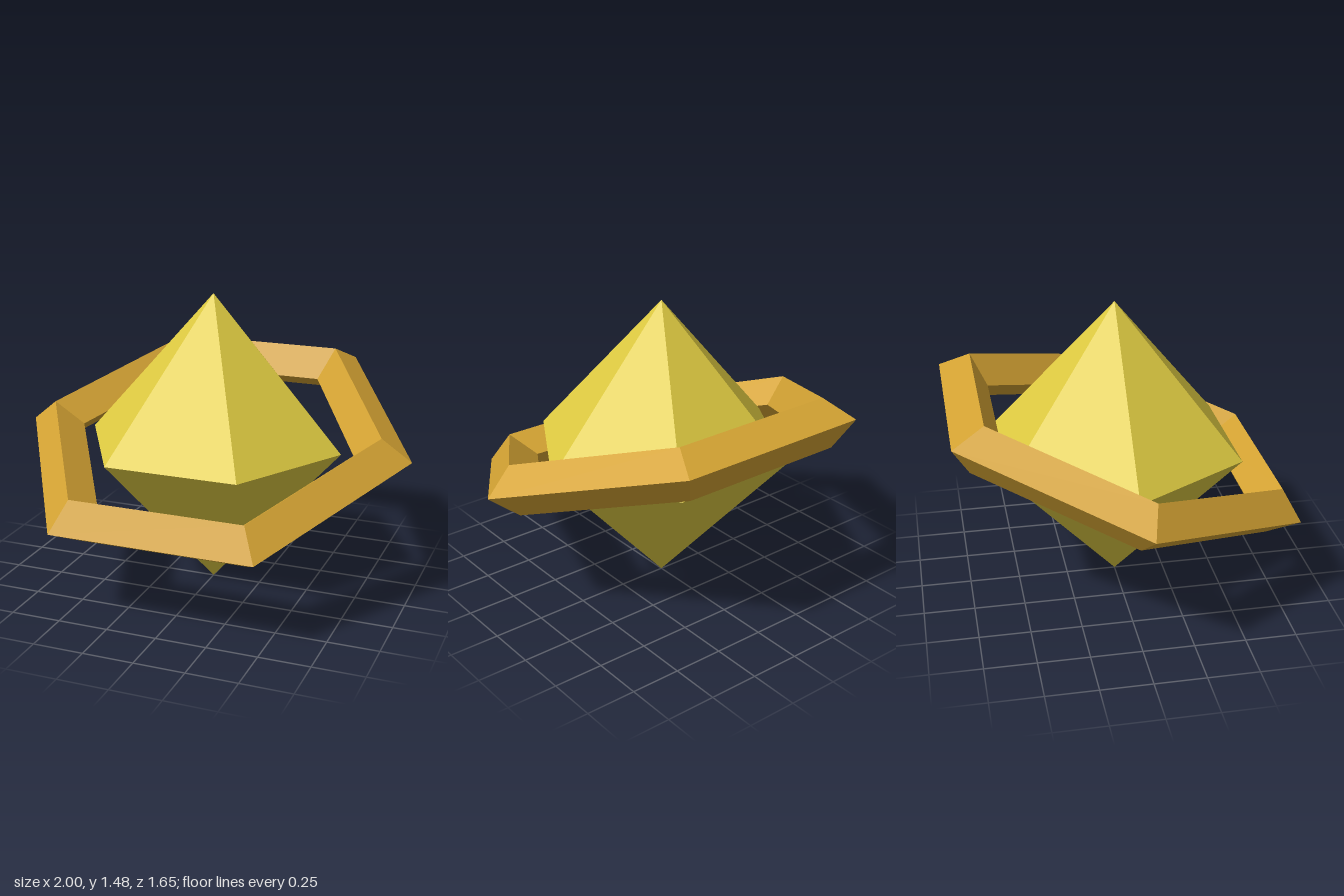
import * as THREE from 'three';

const MID = 0.7375; // height of the crystal's girdle and the ring's centre

export function createModel() {
  const model = new THREE.Group();
  model.name = 'crystalWithRing';

  const yellow = new THREE.MeshStandardMaterial({ color: 0xe0cc42, flatShading: true });
  yellow.name = 'crystal yellow';
  const gold = new THREE.MeshStandardMaterial({ color: 0xd4a333, flatShading: true });
  gold.name = 'ring gold';

  // Six-sided double pyramid, standing on its lower point
  const crystal = new THREE.Mesh(new THREE.SphereGeometry(0.655, 6, 2), yellow);
  crystal.name = 'crystal';
  crystal.scale.y = MID / 0.655;
  crystal.position.y = MID;
  model.add(crystal);

  // Hexagonal ring with a diamond section, tipped down at the front
  const ring = new THREE.Mesh(new THREE.TorusGeometry(0.858, 0.142, 4, 6), gold);
  ring.name = 'ring';
  ring.scale.z = 0.85;
  ring.rotation.x = Math.PI / 2 + Math.PI / 10;
  ring.position.y = MID + 0.002;
  model.add(ring);

  return model;
}
